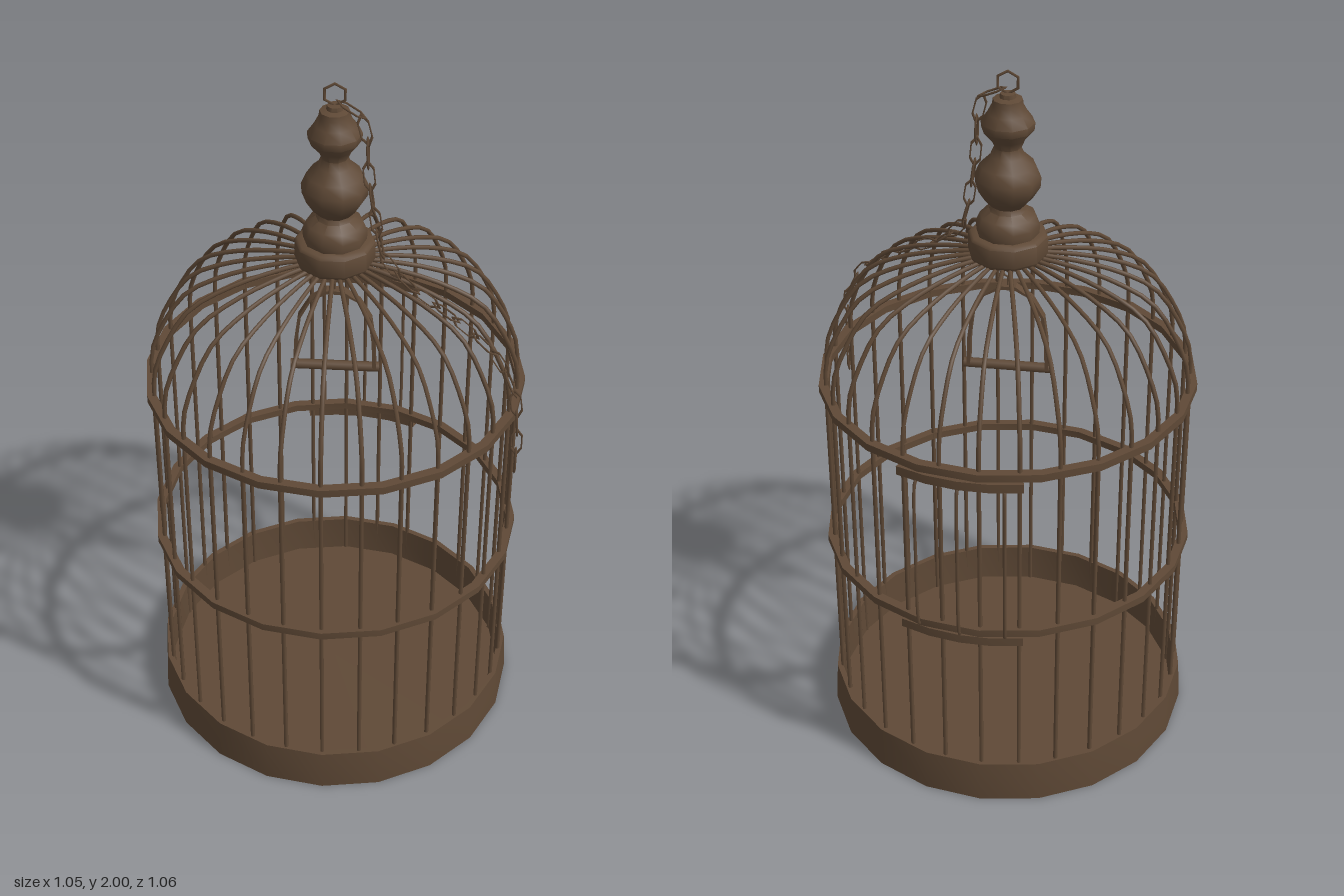
import * as THREE from 'three';
import { toCreasedNormals } from 'three/addons/utils/BufferGeometryUtils.js';

export function createModel() {
  const cage = new THREE.Group();
  cage.name = 'birdcage';
  const bronze = new THREE.MeshStandardMaterial({ color: 0x5f4936, side: THREE.DoubleSide });
  bronze.name = 'agedBronze';

  const add = (name, geometry, parent = cage) => {
    const mesh = new THREE.Mesh(geometry, bronze);
    mesh.name = name;
    parent.add(mesh);
    return mesh;
  };
  const group = (name, parent = cage) => {
    const g = new THREE.Group();
    g.name = name;
    parent.add(g);
    return g;
  };
  const lathe = (profile, sides, start = 0, length = Math.PI * 2) => toCreasedNormals(
    new THREE.LatheGeometry(profile.map(([r, y]) => new THREE.Vector2(r, y)), sides, start, length), 0.8);
  const spline = (points) => new THREE.CatmullRomCurve3(points.map((p) => new THREE.Vector3(...p)));
  const band = (inner, outer, y0, y1) => [[inner, y0], [outer, y0], [outer, y1], [inner, y1], [inner, y0]];

  // Shallow tray with a thin raised wall
  add('baseTray', lathe([[0, 0], [0.527, 0], [0.527, 0.01], [0.52, 0.125], [0.504, 0.125], [0.502, 0.007], [0, 0.007]], 20));

  // Hoops around the bars
  for (const y of [0.603, 1.109]) add('hoop', lathe(band(0.498, 0.523, y - 0.011, y + 0.011), 20));

  // Upright bars continuing into the dome
  const upright = new THREE.CylinderGeometry(0.0062, 0.0062, 1.105, 6, 1, true).translate(0, 0.5575, 0.503);
  const rib = new THREE.TubeGeometry(spline([
    [0, 1.11, 0.503], [0, 1.19, 0.499], [0, 1.275, 0.467], [0, 1.38, 0.396],
    [0, 1.437, 0.28], [0, 1.47, 0.14], [0, 1.482, 0.04],
  ]), 14, 0.0062, 6);
  const bars = group('bars');
  for (let i = 0; i < 30; i++) {
    const a = (i / 30) * Math.PI * 2;
    add('uprightBar', upright, bars).rotation.y = a;
    add('domeRib', rib, bars).rotation.y = a;
  }

  // Turned finial
  add('finial', lathe([
    [0, 1.478], [0.1, 1.478], [0.107, 1.488], [0.107, 1.538], [0.1, 1.545], [0.084, 1.547],
    [0.086, 1.572], [0.075, 1.598], [0.05, 1.612], [0.045, 1.625], [0.066, 1.648], [0.086, 1.68],
    [0.088, 1.708], [0.074, 1.74], [0.046, 1.767], [0.036, 1.79], [0.045, 1.812], [0.069, 1.84],
    [0.071, 1.86], [0.053, 1.885], [0.041, 1.908], [0.039, 1.922], [0.022, 1.926], [0.02, 1.937], [0, 1.939],
  ], 10).rotateY(Math.PI / 2));
  add('hangingRing', new THREE.TorusGeometry(0.03, 0.004, 4, 6).rotateZ(Math.PI / 2)).position.y = 1.966;

  // Chain draped over the dome, with alternating links
  const path = spline([
    [0.015, 1.945, 0.005], [0.06, 1.92, 0.018], [0.082, 1.86, 0.025], [0.088, 1.77, 0.032],
    [0.105, 1.65, 0.042], [0.135, 1.53, 0.06], [0.2, 1.465, 0.085], [0.32, 1.395, 0.13],
    [0.43, 1.315, 0.175], [0.485, 1.22, 0.203], [0.5, 1.11, 0.208], [0.502, 0.96, 0.206],
  ]);
  const link = new THREE.TorusGeometry(0.02, 0.003, 4, 6).scale(2.1, 0.8, 1);
  const chain = group('chain');
  const count = 19, xAxis = new THREE.Vector3(1, 0, 0);
  for (let i = 0; i < count; i++) {
    const t = (i + 0.5) / count;
    const mesh = add('chainLink', link, chain);
    mesh.position.copy(path.getPointAt(t));
    mesh.quaternion.setFromUnitVectors(xAxis, path.getTangentAt(t));
    mesh.rotateX(((i + 1) % 2) * Math.PI / 2);
  }

  // Curved door at the back, its rods bowed outwards
  const door = group('door');
  const rad = THREE.MathUtils.degToRad;
  for (const y of [0.577, 1.08]) {
    add('doorRail', lathe(band(0.502, 0.523, y - 0.013, y + 0.013), 4, rad(155), rad(38)), door);
  }
  const rod = new THREE.TubeGeometry(spline([
    [0, 0.577, 0.51], [0, 0.592, 0.522], [0, 0.64, 0.529], [0, 0.83, 0.53],
    [0, 1.02, 0.529], [0, 1.065, 0.522], [0, 1.08, 0.51],
  ]), 16, 0.005, 6);
  for (const angle of [-7.6, 6, 18.8]) add('doorRod', rod, door).rotation.y = Math.PI - rad(angle);

  // Swing: perch, flat arch and hook
  const swing = group('swing');
  add('perch', new THREE.CylinderGeometry(0.014, 0.014, 0.244, 8).rotateZ(Math.PI / 2), swing).position.y = 1.132;
  const arch = (w, top) => {
    const half = [[w, 1.13], [w * 0.97, 1.22], [w * 0.88, 1.295], [w * 0.6, 1.352], [w * 0.2, top]];
    return [...half, ...half.map(([x, y]) => [-x, y]).reverse()].map(([x, y]) => new THREE.Vector2(x, y));
  };
  const archShape = new THREE.Shape([...arch(0.114, 1.385), ...arch(0.104, 1.375).reverse()]);
  add('swingArch', new THREE.ExtrudeGeometry(archShape, { depth: 0.028, bevelEnabled: false }).translate(0, 0, -0.014), swing);
  add('swingHook', new THREE.CylinderGeometry(0.003, 0.003, 0.03, 6), swing).position.y = 1.395;
  add('swingEye', new THREE.TorusGeometry(0.012, 0.003, 4, 8), swing).position.y = 1.422;
  add('swingEyeCross', new THREE.TorusGeometry(0.012, 0.003, 4, 8).rotateY(Math.PI / 2), swing).position.y = 1.438;
  add('swingStem', new THREE.CylinderGeometry(0.004, 0.004, 0.035, 6), swing).position.y = 1.465;

  return cage;
}
